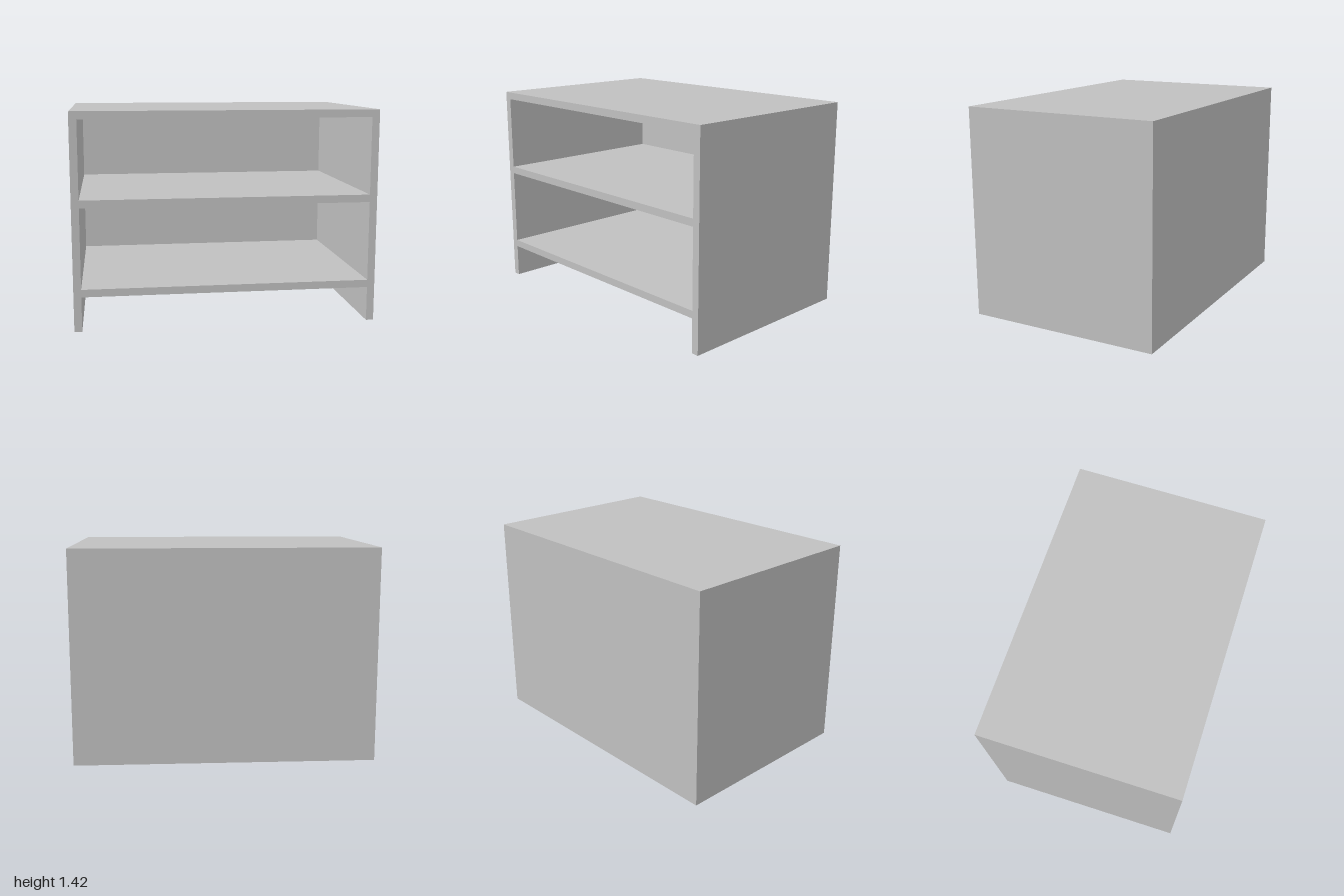
import * as THREE from 'three';

const W = 2, H = 1.42, D = 1.33; // overall size
const T = 0.05;                  // board thickness
const BACK = 0.025;              // back panel thickness
const SHELF_TOPS = [0.28, 0.86]; // upper faces of the two shelves

export function createModel() {
  const group = new THREE.Group();
  group.name = 'openCabinet';

  const grey = new THREE.MeshStandardMaterial({ color: 0xc0c0c0 });
  grey.name = 'light grey';

  const inner = W / 2 - T;
  const kickTop = SHELF_TOPS[0] - T;

  // Carcass outline: top, sides and shelves, open below the lowest shelf
  const outline = new THREE.Shape([
    [-W / 2, 0], [-inner, 0], [-inner, kickTop], [inner, kickTop],
    [inner, 0], [W / 2, 0], [W / 2, H], [-W / 2, H],
  ].map(([x, y]) => new THREE.Vector2(x, y)));

  // One compartment opening above each shelf
  SHELF_TOPS.forEach((bottom, i) => {
    const top = (SHELF_TOPS[i + 1] ?? H) - T;
    outline.holes.push(new THREE.Path([
      new THREE.Vector2(-inner, bottom), new THREE.Vector2(-inner, top),
      new THREE.Vector2(inner, top), new THREE.Vector2(inner, bottom),
    ]));
  });

  const carcass = new THREE.Mesh(
    new THREE.ExtrudeGeometry(outline, { depth: D - BACK, bevelEnabled: false }), grey);
  carcass.name = 'carcassWithShelves';
  carcass.position.z = -D / 2 + BACK;
  group.add(carcass);

  // Full-height back panel
  const back = new THREE.Mesh(new THREE.BoxGeometry(W, H, BACK), grey);
  back.name = 'backPanel';
  back.position.set(0, H / 2, -D / 2 + BACK / 2);
  group.add(back);

  return group;
}
